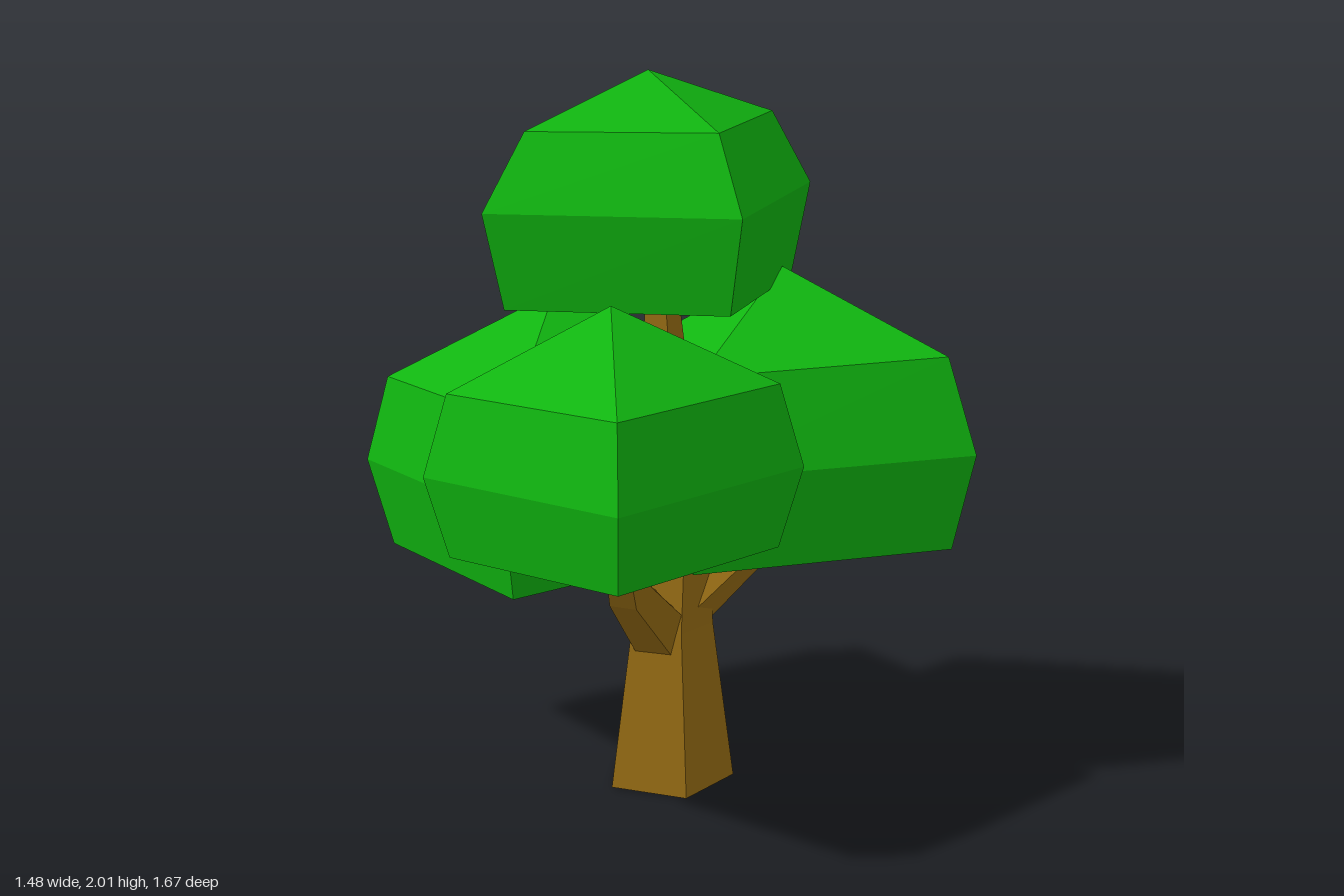
import * as THREE from 'three';

const V = (p) => new THREE.Vector3(...p);
const leafMaterial = new THREE.MeshStandardMaterial({ color: 0x10b510, flatShading: true });
const barkMaterial = new THREE.MeshStandardMaterial({ color: 0x966c14, flatShading: true });

// Skin a stack of rings (counter-clockwise seen from above), closed by a bottom and a top point
function loft(rings, bottom, top, material, name) {
  const pos = [];
  const tri = (...points) => points.forEach((p) => pos.push(p.x, p.y, p.z));
  const n = rings[0].length;
  for (let j = 0; j < n; j++) {
    const k = (j + 1) % n;
    tri(bottom, rings[0][k], rings[0][j]);
    for (let i = 0; i < rings.length - 1; i++) {
      const lo = rings[i], hi = rings[i + 1];
      tri(lo[j], lo[k], hi[k]);
      tri(lo[j], hi[k], hi[j]);
    }
    const last = rings[rings.length - 1];
    tri(last[j], last[k], top);
  }
  const geometry = new THREE.BufferGeometry();
  geometry.setAttribute('position', new THREE.Float32BufferAttribute(pos, 3));
  geometry.computeVertexNormals();
  const mesh = new THREE.Mesh(geometry, material);
  mesh.name = name;
  return mesh;
}

const centreOf = (ring) =>
  ring.reduce((sum, p) => sum.add(p), new THREE.Vector3()).divideScalar(ring.length);

// Four-sided crown: widest ring, a smaller ring above and below it, and a peak
function crown({ name, wide, upper, lower, peak }) {
  const ring = wide.map(V);
  const centre = centreOf(ring);
  const shrink = ([scale, dy]) => ring.map((p) => new THREE.Vector3(
    centre.x + (p.x - centre.x) * scale, p.y + dy, centre.z + (p.z - centre.z) * scale));
  const base = shrink(lower);
  return loft([base, ring, shrink(upper)], centreOf(base), V(peak), leafMaterial, name);
}

// Five-sided limb along a bent path, with a radius at each point
function limb(name, path, radii) {
  const pts = path.map(V);
  const up = new THREE.Vector3(0, 1, 0);
  const rings = pts.map((p, i) => {
    const dir = pts[Math.min(i + 1, pts.length - 1)].clone().sub(pts[Math.max(i - 1, 0)]).normalize();
    const turn = new THREE.Quaternion().setFromUnitVectors(up, dir);
    return Array.from({ length: 5 }, (_, j) => {
      const a = -Math.PI / 2 + (j * Math.PI * 2) / 5;
      return new THREE.Vector3(Math.cos(a), 0, -Math.sin(a))
        .multiplyScalar(radii[i]).applyQuaternion(turn).add(p);
    });
  });
  return loft(rings, pts[0], pts[pts.length - 1], barkMaterial, name);
}

export function createModel() {
  const tree = new THREE.Group();
  tree.name = 'tree';

  // Trunk: tapered pentagon that narrows on its way to the top crown
  tree.add(limb('trunk',
    [[0, 0, -0.045], [0, 0.46, -0.03], [0.015, 0.68, -0.03], [-0.02, 1.46, -0.06]],
    [0.188, 0.124, 0.1, 0.045]));

  // Branches to the lower crowns
  tree.add(
    limb('frontBranch', [[-0.04, 0.45, 0.01], [-0.18, 0.63, 0.2], [-0.25, 0.88, 0.34]], [0.09, 0.065, 0.05]),
    limb('leftBranch', [[0.02, 0.48, -0.03], [0.26, 0.67, -0.04], [0.34, 0.88, -0.04]], [0.08, 0.06, 0.045]),
    limb('backBranch', [[0, 0.48, -0.06], [-0.09, 0.72, -0.2], [-0.18, 0.9, -0.33]], [0.08, 0.06, 0.045]),
  );

  // Crowns
  const crowns = [
    {
      name: 'topCrown', peak: [-0.065, 2, 0],
      wide: [[0.45, 1.66, -0.16], [-0.15, 1.62, -0.53], [-0.54, 1.65, 0.09], [0.06, 1.66, 0.43]],
      upper: [0.75, 0.205], lower: [0.88, -0.26],
    },
    {
      name: 'frontCrown', peak: [-0.27, 1.445, 0.37],
      wide: [[0.21, 1.02, 0.495], [-0.15, 1.0, -0.09], [-0.74, 1.0, 0.25], [-0.38, 1.02, 0.835]],
      upper: [0.87, 0.22], lower: [0.87, -0.215],
    },
    {
      name: 'leftCrown', peak: [0.325, 1.45, -0.037],
      wide: [[0.735, 0.92, -0.42], [-0.08, 0.9, -0.46], [-0.08, 0.97, 0.37], [0.73, 0.99, 0.405]],
      upper: [0.85, 0.26], lower: [0.89, -0.27],
    },
    {
      name: 'backCrown', peak: [-0.24, 1.35, -0.355],
      wide: [[0.27, 0.88, -0.08], [0.04, 0.86, -0.84], [-0.735, 0.83, -0.64], [-0.5, 0.84, 0.125]],
      upper: [0.88, 0.25], lower: [0.87, -0.25],
    },
  ];
  crowns.forEach((c) => tree.add(crown(c)));
  return tree;
}
